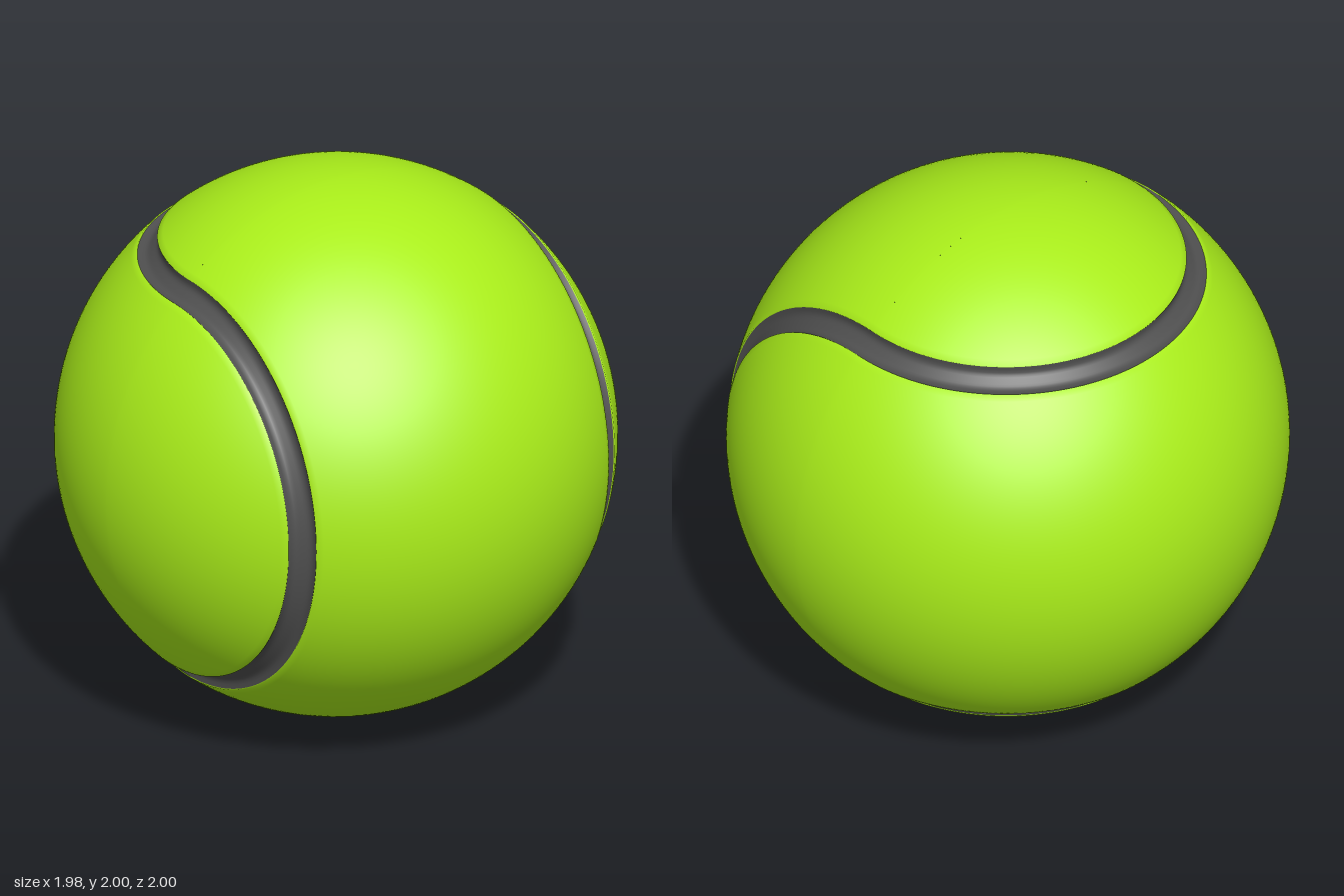
import * as THREE from 'three';

const felt = new THREE.MeshStandardMaterial({ color: 0xaaee1a });
const rubber = new THREE.MeshStandardMaterial({ color: 0x505050 });
const RAD = Math.PI / 180;
const TRIM = 0.011; // each half is trimmed slightly where the halves meet

// Profile point at polar angle (degrees from the axis) and radius
const polar = (deg, r = 1) =>
  new THREE.Vector2(Math.max(0, r * Math.sin(deg * RAD)), r * Math.cos(deg * RAD));

// Felt arc, its open ends rolling slightly into the groove
function feltProfile(from, to) {
  const n = Math.ceil((from - to) / 1.5), pts = [];
  if (from < 180) pts.push(polar(from + 0.1, 0.99));
  for (let i = 0; i <= n; i++) pts.push(polar(from + (to - from) * i / n));
  if (to > 0) pts.push(polar(to - 0.1, 0.99));
  return pts;
}

// Sunken seam with steep walls and a rounded floor
function seamProfile(from, to) {
  const pts = [];
  for (let i = 0; i <= 12; i++) {
    const s = i / 12;
    pts.push(polar(from + (to - from) * s, 0.997 - 0.028 * (1 - (2 * s - 1) ** 4)));
  }
  return pts;
}

// Half turn of a profile on one side of x = 0
function halfTurn(profile, side, aboutZ) {
  const geo = new THREE.LatheGeometry(profile, 96, side > 0 ? 0 : Math.PI, Math.PI);
  if (aboutZ) geo.rotateX(Math.PI / 2);
  const p = geo.attributes.position;
  for (let i = 0; i < p.count; i++) p.setX(i, side * Math.max(0, side * p.getX(i) - TRIM));
  return geo;
}

// One half of the ball: two caps, two seams and the band between them
function makeHalf(name, side, aboutZ, inner, outer) {
  const half = new THREE.Group();
  half.name = name;
  const add = (part, profile, material) => {
    const mesh = new THREE.Mesh(halfTurn(profile, side, aboutZ), material);
    mesh.name = part;
    half.add(mesh);
  };
  add('feltCapLower', feltProfile(180, 180 - inner), felt);
  add('seamLower', seamProfile(180 - inner, 180 - outer), rubber);
  add('feltBand', feltProfile(180 - outer, outer), felt);
  add('seamUpper', seamProfile(outer, inner), rubber);
  add('feltCapUpper', feltProfile(inner, 0), felt);
  return half;
}

export function createModel() {
  const ball = new THREE.Group();
  ball.name = 'ball';
  // The halves turn about crossed axes, so their seams join into one closed curve
  const near = 44.8, far = 50.5;
  ball.add(makeHalf('leftHalf', 1, true, near, far));
  ball.add(makeHalf('rightHalf', -1, false, 90 - far, 90 - near));
  ball.position.y = 1;
  const model = new THREE.Group();
  model.name = 'seamedBall';
  model.add(ball);
  return model;
}
